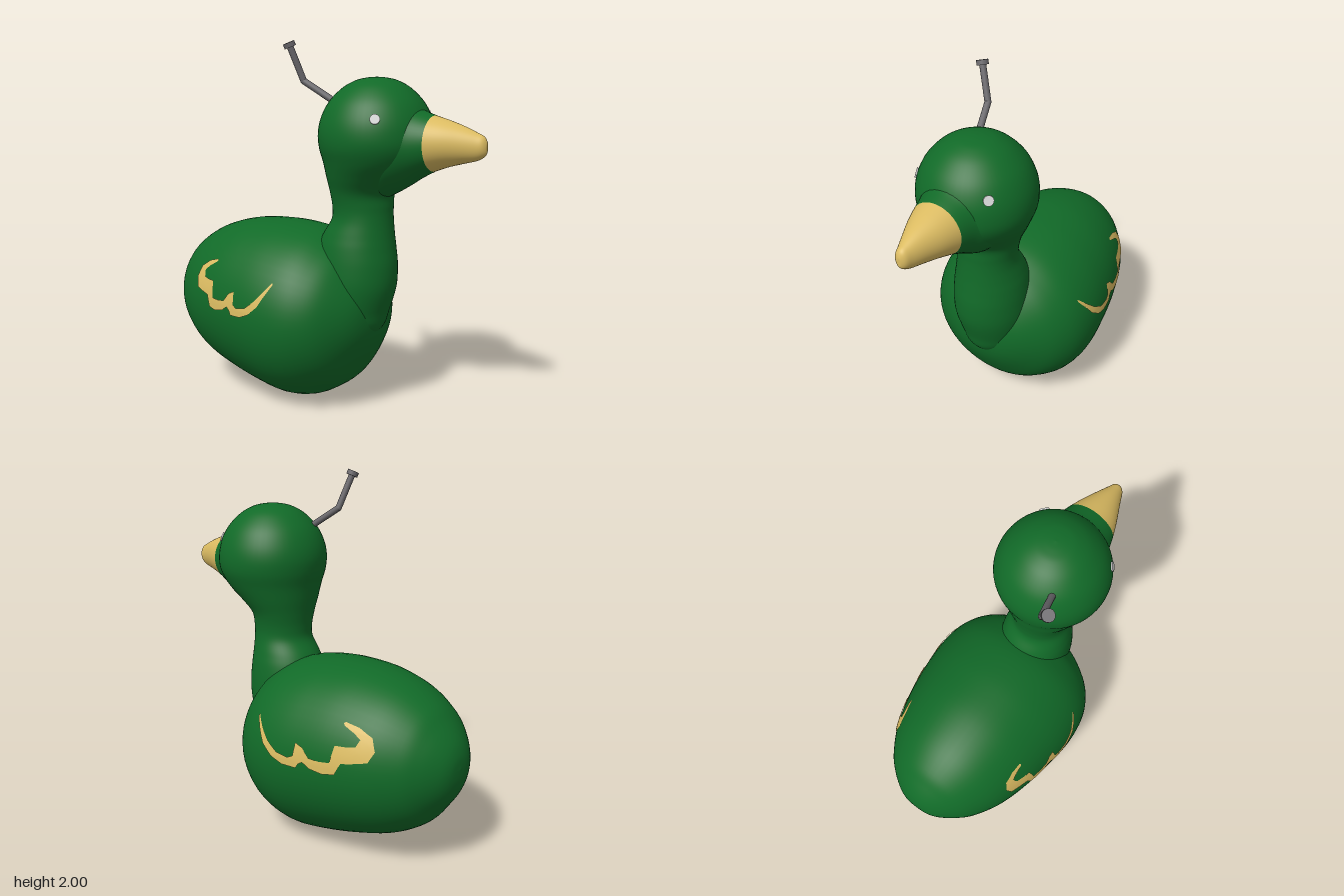
import * as THREE from 'three';

const mat = (name, color, side = THREE.FrontSide) => {
  const m = new THREE.MeshStandardMaterial({ color, side });
  m.name = name;
  return m;
};

// Smooth loft through elliptical sections [t, high, low, halfWidth], running along z or y.
function loft(sections, axis, steps = 64, sides = 56) {
  const V = THREE.Vector3;
  const edges = new THREE.CatmullRomCurve3(sections.map(s => new V(s[0], s[1], s[2])), false, 'catmullrom');
  const widths = new THREE.CatmullRomCurve3(sections.map(s => new V(s[3], 0, 0)), false, 'catmullrom');
  const pos = [], idx = [];
  for (let j = 0; j <= steps; j++) {
    const p = edges.getPoint(j / steps), w = Math.max(0, widths.getPoint(j / steps).x);
    const c = (p.y + p.z) / 2, h = (p.y - p.z) / 2;
    for (let i = 0; i < sides; i++) {
      const a = i / sides * Math.PI * 2, x = w * Math.cos(a), s = h * Math.sin(a);
      if (axis === 'z') pos.push(x, c + s, p.x);
      else pos.push(x, p.x, c - s);
      if (j < steps) {
        const k = j * sides + i, n = j * sides + (i + 1) % sides;
        idx.push(k, n, k + sides, n, n + sides, k + sides);
      }
    }
  }
  return surface(pos, idx);
}

function surface(pos, idx) {
  const g = new THREE.BufferGeometry();
  g.setAttribute('position', new THREE.Float32BufferAttribute(pos, 3));
  g.setIndex(idx);
  g.computeVertexNormals();
  return g;
}

// Wing marking: pairs of inner and outer edge points [z, y, z, y]
const WING = [
  [0.02, 0.735, 0.025, 0.725], [-0.03, 0.685, -0.01, 0.675], [-0.09, 0.63, -0.06, 0.605],
  [-0.165, 0.585, -0.13, 0.555], [-0.24, 0.575, -0.205, 0.53], [-0.273, 0.59, -0.295, 0.53],
  [-0.28, 0.66, -0.31, 0.555], [-0.325, 0.645, -0.335, 0.57], [-0.37, 0.60, -0.38, 0.545],
  [-0.43, 0.595, -0.455, 0.533], [-0.49, 0.60, -0.52, 0.545], [-0.505, 0.69, -0.55, 0.607],
  [-0.56, 0.692, -0.61, 0.618], [-0.61, 0.70, -0.68, 0.633], [-0.623, 0.735, -0.703, 0.687],
  [-0.585, 0.76, -0.675, 0.75], [-0.525, 0.787, -0.60, 0.787], [-0.515, 0.797, -0.525, 0.803],
];

// Lay the marking on the side of the body by projecting it along x
function wingMark(body, side, scaleZ, shiftZ) {
  const ray = new THREE.Raycaster(), dir = new THREE.Vector3(-side, 0, 0);
  const pos = [], idx = [], along = 3, across = 4;
  const rows = (WING.length - 1) * along;
  for (let r = 0; r <= rows; r++) {
    const k = Math.min(Math.floor(r / along), WING.length - 2), f = r / along - k;
    const e = WING[k].map((v, n) => v + (WING[k + 1][n] - v) * f);
    for (let c = 0; c <= across; c++) {
      const z = (e[0] + (e[2] - e[0]) * c / across) * scaleZ + shiftZ;
      const y = e[1] + (e[3] - e[1]) * c / across;
      ray.set(new THREE.Vector3(side * 2, y, z), dir);
      const hit = ray.intersectObject(body)[0];
      pos.push(hit ? hit.point.x + side * 0.006 : side * 0.4, y, z);
      if (r < rows && c < across) {
        const a = r * (across + 1) + c, b = a + across + 1;
        idx.push(a, b, a + 1, b, b + 1, a + 1);
      }
    }
  }
  return surface(pos, idx);
}

// Cylinder spanning two points
function rod(a, b, radius, sides = 12) {
  const d = b.clone().sub(a);
  const g = new THREE.CylinderGeometry(radius, radius, d.length(), sides);
  g.applyQuaternion(new THREE.Quaternion().setFromUnitVectors(new THREE.Vector3(0, 1, 0), d.normalize()));
  return g.translate((a.x + b.x) / 2, (a.y + b.y) / 2, (a.z + b.z) / 2);
}

export function createModel() {
  const group = new THREE.Group();
  const green = mat('green', 0x116a28);
  const gold = mat('gold', 0xdcbc62);
  const goldMark = gold.clone();
  goldMark.side = THREE.DoubleSide;
  const white = mat('eyeWhite', 0xd6d6d6);
  const grey = mat('grey', 0x6c6a6e);
  const add = (name, geometry, material) => {
    const m = new THREE.Mesh(geometry, material);
    m.name = name;
    group.add(m);
    return m;
  };

  // Egg-shaped body, tail to chest
  const body = add('body', loft([
    [-0.975, 0.57, 0.57, 0], [-0.968, 0.64, 0.49, 0.075], [-0.94, 0.71, 0.405, 0.145],
    [-0.88, 0.79, 0.315, 0.23], [-0.8, 0.87, 0.22, 0.305], [-0.65, 0.95, 0.13, 0.39],
    [-0.45, 1.0, 0.065, 0.45], [-0.25, 1.01, 0.02, 0.485], [-0.1, 1.0, 0, 0.497],
    [0.03, 0.975, 0.02, 0.485], [0.13, 0.93, 0.07, 0.45], [0.22, 0.87, 0.14, 0.385],
    [0.3, 0.77, 0.26, 0.28], [0.35, 0.68, 0.36, 0.18], [0.375, 0.58, 0.45, 0.07],
    [0.38, 0.52, 0.52, 0],
  ], 'z', 90), green);

  // Breast, neck and round head in one upright loft
  add('neckAndHead', loft([
    [0.33, 0.26, 0.14, 0.02], [0.45, 0.385, 0.0, 0.15], [0.55, 0.42, 0.0, 0.19],
    [0.68, 0.458, 0.0, 0.21], [0.8, 0.465, 0.0, 0.21], [0.9, 0.455, 0.02, 0.2],
    [0.97, 0.447, 0.05, 0.185], [1.05, 0.44, 0.1, 0.167], [1.12, 0.438, 0.105, 0.168],
    [1.2, 0.445, 0.095, 0.188], [1.28, 0.52, 0.08, 0.23], [1.36, 0.61, 0.066, 0.272],
    [1.44, 0.654, 0.046, 0.304], [1.52, 0.66, 0.04, 0.31], [1.6, 0.643, 0.057, 0.293],
    [1.68, 0.602, 0.098, 0.252], [1.75, 0.534, 0.166, 0.184], [1.79, 0.464, 0.236, 0.114],
    [1.805, 0.405, 0.295, 0.055], [1.81, 0.35, 0.35, 0],
  ], 'y', 100), green);

  // Face tapering into the beak
  add('face', loft([
    [0.36, 1.6, 1.16, 0.15], [0.43, 1.68, 1.18, 0.19], [0.5, 1.72, 1.215, 0.215],
    [0.56, 1.685, 1.25, 0.198], [0.62, 1.642, 1.287, 0.17], [0.7, 1.612, 1.328, 0.145],
  ], 'z', 30), green);

  add('beak', loft([
    [0.7, 1.612, 1.328, 0.145], [0.78, 1.588, 1.355, 0.115], [0.86, 1.56, 1.375, 0.08],
    [0.93, 1.53, 1.392, 0.05], [0.965, 1.512, 1.41, 0.034], [0.98, 1.485, 1.43, 0.015],
    [0.982, 1.46, 1.46, 0],
  ], 'z', 36), gold);

  // Thin round eyes on the head
  const headCentre = new THREE.Vector3(0, 1.5, 0.35);
  for (const [name, x, y, z] of [['leftEye', 0.207, 1.62, 0.56], ['rightEye', -0.26, 1.595, 0.5]]) {
    const n = new THREE.Vector3(x, y, z).sub(headCentre).normalize();
    const at = d => headCentre.clone().addScaledVector(n, d);
    add(name, rod(at(0.309), at(0.317), 0.026, 16), white);
  }

  // Wing markings, the right one a little shorter
  add('leftWingMark', wingMark(body, 1, 1, 0), goldMark);
  add('rightWingMark', wingMark(body, -1, 0.82, -0.03), goldMark);

  // Bent pin with a flat head, stuck in the back of the head
  const p = [[-0.115, 1.67, 0.18], [-0.165, 1.79, -0.005], [-0.222, 1.965, -0.05]].map(v => new THREE.Vector3(...v));
  add('pinLower', rod(p[0], p[1], 0.018), grey);
  add('pinUpper', rod(p[1], p[2], 0.018), grey);
  const elbow = new THREE.SphereGeometry(0.018, 12, 8).translate(p[1].x, p[1].y, p[1].z);
  add('pinElbow', elbow, grey);
  const up = p[2].clone().sub(p[1]).normalize();
  add('pinHead', rod(p[2], p[2].clone().addScaledVector(up, 0.026), 0.032, 16), grey);

  return group;
}
